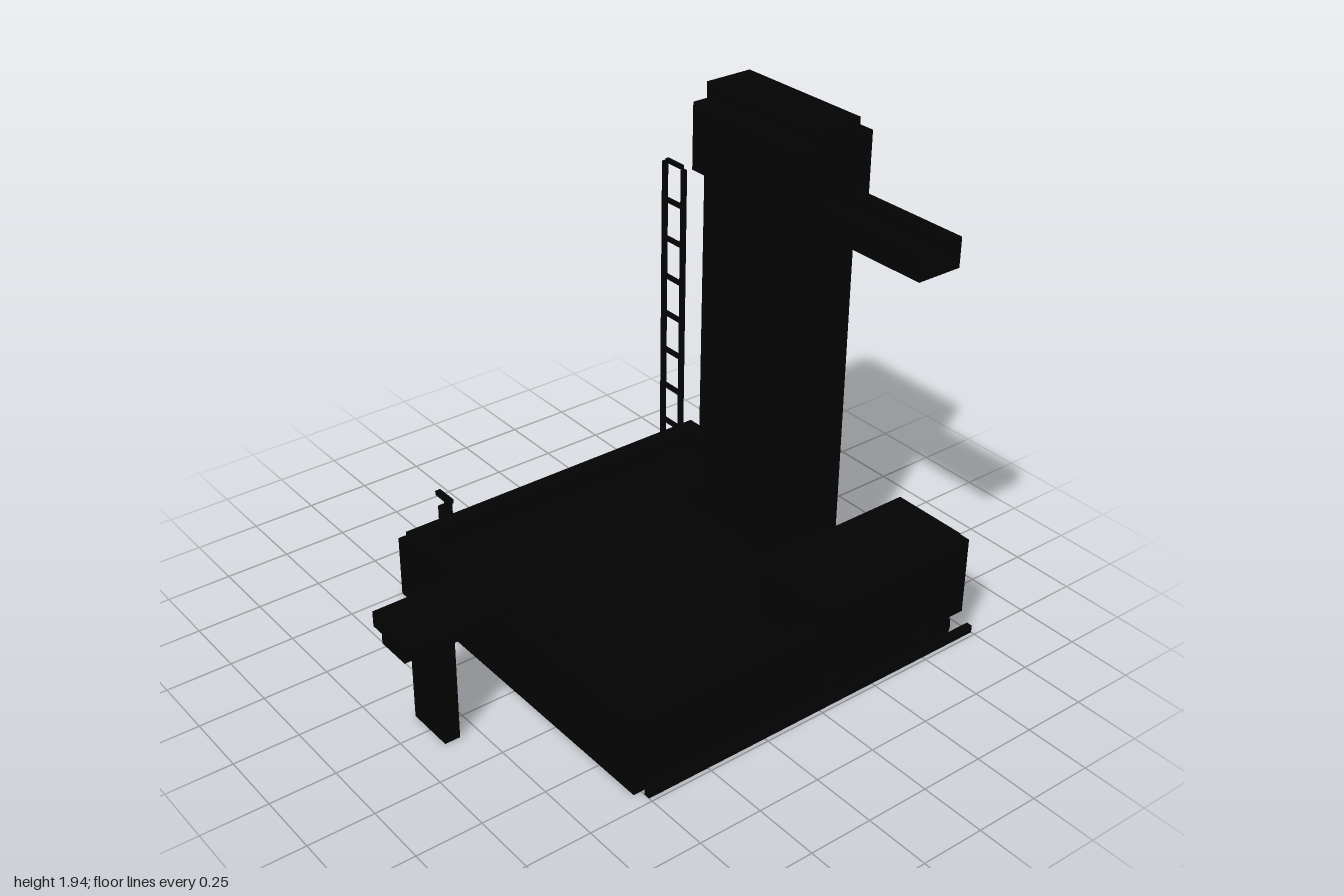
import * as THREE from 'three';

export function createModel() {
  const root = new THREE.Group();
  const black = new THREE.MeshStandardMaterial({ color: 0x030303 });
  black.name = 'black';

  // box given by its limits on each axis
  function box(name, x0, x1, y0, y1, z0, z1) {
    const m = new THREE.Mesh(new THREE.BoxGeometry(x1 - x0, y1 - y0, z1 - z0), black);
    m.position.set((x0 + x1) / 2, (y0 + y1) / 2, (z0 + z1) / 2);
    m.name = name;
    root.add(m);
    return m;
  }
  // flat disc with its axis along x
  function disc(name, x, y, z, r, width) {
    const m = new THREE.Mesh(new THREE.CylinderGeometry(r, r, width, 28), black);
    m.rotation.z = Math.PI / 2;
    m.position.set(x, y, z);
    m.name = name;
    root.add(m);
  }

  // base tray: floor, notched at the back for the column
  box('trayFloor', -0.66, 0.66, 0.02, 0.21, -0.5, 0.5);
  box('trayFloorBackLeft', 0.27, 0.66, 0.02, 0.13, -0.8, -0.5);
  box('trayFloorBackRight', -0.66, -0.29, 0.02, 0.21, -0.8, -0.5);
  // rim walls
  box('frontWall', -0.69, 0.69, 0, 0.31, 0.48, 0.53);
  box('rightWall', -0.69, -0.64, 0, 0.31, -0.82, 0.48);
  box('leftWall', 0.64, 0.69, 0, 0.31, -0.82, 0.48);
  box('backWallRight', -0.64, -0.28, 0, 0.31, -0.82, -0.77);
  box('backWallLeft', 0.28, 0.42, 0, 0.31, -0.82, -0.77);
  box('notchWallRight', -0.31, -0.28, 0, 0.31, -0.77, -0.5);
  box('notchWallLeft', 0.28, 0.31, 0, 0.31, -0.77, -0.5);
  // ribs under the floor
  for (const x of [-0.3, 0.3]) box('floorRib', x - 0.012, x + 0.012, 0, 0.02, -0.5, 0.48);
  for (const z of [-0.4, -0.1, 0.2]) box('floorCrossRib', -0.64, 0.64, 0, 0.02, z - 0.012, z + 0.012);

  // column and stepped head
  box('column', -0.25, 0.25, 0, 1.64, -0.75, -0.5);
  box('head', -0.28, 0.28, 1.63, 1.88, -0.78, -0.47);
  box('headCap', -0.28, 0.28, 1.88, 1.94, -0.72, -0.53);
  disc('headWheel', -0.264, 1.755, -0.725, 0.085, 0.022);

  // side arm: a channel open at the top
  box('armFloor', 0.25, 0.74, 1.56, 1.59, -0.75, -0.57);
  box('armFrontWall', 0.25, 0.74, 1.56, 1.67, -0.6, -0.57);
  box('armBackWall', 0.25, 0.74, 1.56, 1.67, -0.75, -0.72);

  // ladder
  for (const x of [-0.4, -0.295]) box('ladderRail', x - 0.008, x + 0.008, 0.2, 1.63, -0.453, -0.437);
  for (let i = 0; i < 10; i++) {
    const y = 0.287 + i * 0.15;
    box('ladderRung', -0.39, -0.303, y - 0.007, y + 0.007, -0.452, -0.438);
  }

  // tank on rails beside the column
  box('tank', 0.4, 0.74, 0.13, 0.44, -0.93, -0.25);
  box('tankLid', 0.42, 0.725, 0.44, 0.47, -0.9, -0.28);
  for (const x of [0.412, 0.722]) {
    box('tankRail', x - 0.012, x + 0.012, 0, 0.03, -1, 0.5);
    for (const z of [-0.815, -0.38]) disc('tankWheel', x - 0.005, 0.08, z, 0.075, 0.02);
  }

  // front console and free-standing desk
  box('frontConsole', -0.19, 0.18, 0.13, 0.34, 0.44, 0.56);
  box('deskPost', -0.095, 0.095, 0, 0.4, 0.82, 0.88);
  box('deskUnderside', -0.07, 0.07, 0.38, 0.425, 0.56, 1);
  box('deskTop', -0.123, 0.12, 0.42, 0.48, 0.56, 1);

  // cabinet on the right side with its handle
  box('sideCabinet', -0.75, -0.67, 0, 0.25, 0.19, 0.53);
  box('handlePlate', -0.702, -0.698, 0.25, 0.36, 0.32, 0.38);
  box('handleStem', -0.702, -0.698, 0.35, 0.38, 0.347, 0.353);
  box('handleBar', -0.75, -0.66, 0.375, 0.393, 0.338, 0.36);

  return root;
}
